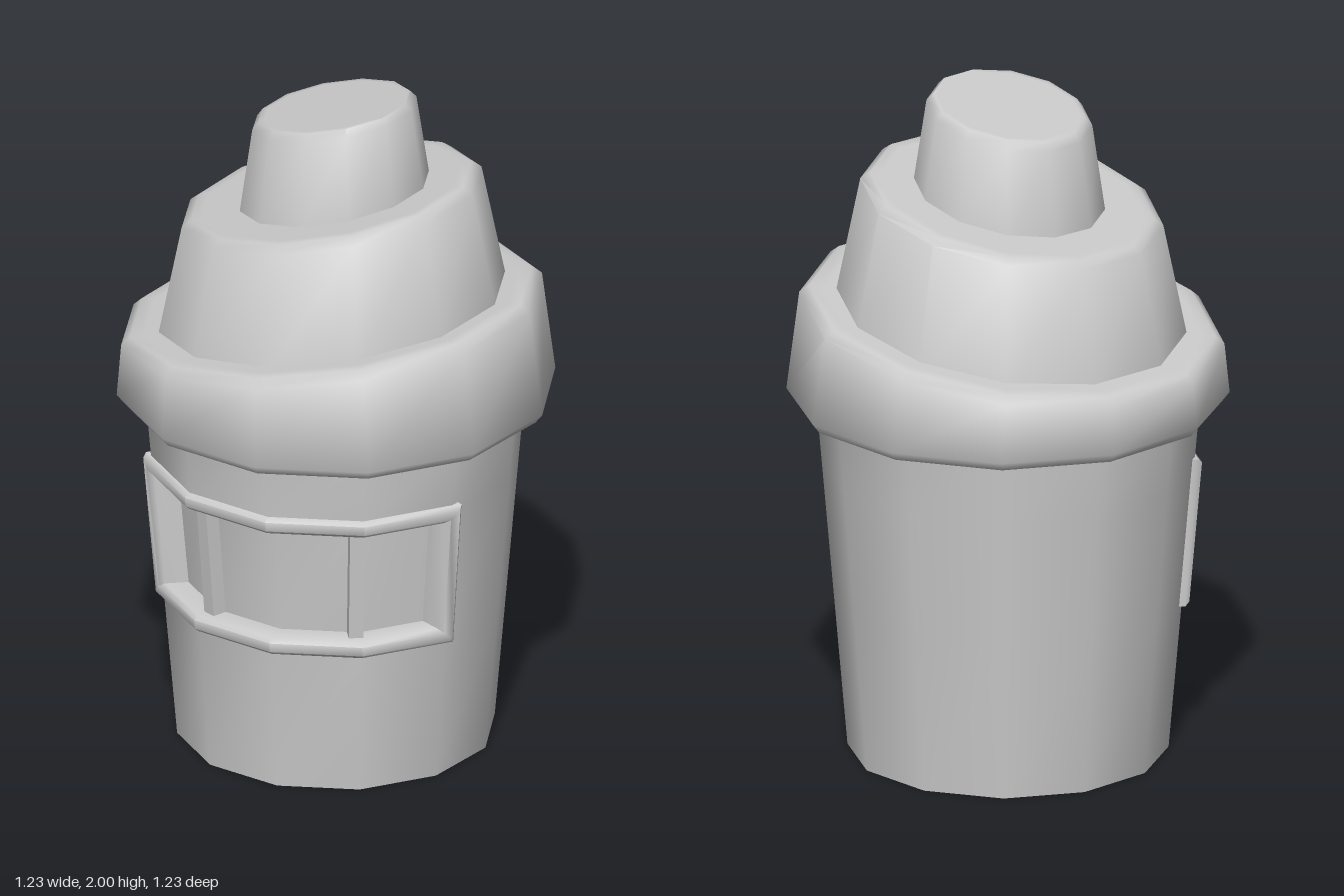
import * as THREE from 'three';
import { toCreasedNormals } from 'three/addons/utils/BufferGeometryUtils.js';

const SIDES = 12, STEP = Math.PI / 6, COS = Math.cos(Math.PI / 12);
const rad = THREE.MathUtils.degToRad;
const material = new THREE.MeshStandardMaterial({ color: 0xcccccc });
const openMaterial = new THREE.MeshStandardMaterial({ color: 0xcccccc, side: THREE.DoubleSide });

// Collects quads (counter-clockwise) and turns them into a mesh
class Skin {
  constructor() { this.pos = []; }
  tri(...pts) { pts.forEach(p => this.pos.push(p.x, p.y, p.z)); }
  quad(a, b, c, d) { this.tri(a, b, c); this.tri(a, c, d); }
  mesh(name, mat, crease = 0.95) {
    const g = new THREE.BufferGeometry();
    g.setAttribute('position', new THREE.Float32BufferAttribute(this.pos, 3));
    const mesh = new THREE.Mesh(toCreasedNormals(g, crease), mat);
    mesh.name = name;
    return mesh;
  }
}

// Corner k of the twelve-sided plan, angle measured from +z towards +x
const cornerAngle = k => (k + 0.5) * STEP;

// Point on the tapered cup wall, pushed out by off
const wall = (angle, y, off = 0) => {
  const r = (0.447 + 0.083 * y) / COS + off;
  return new THREE.Vector3(Math.sin(angle) * r, y, Math.cos(angle) * r);
};

// Window range: plan corners -2 to 2
const W0 = -2, W1 = 2, SILL = 0.462, HEAD = 0.86, DEPTH = -0.065;

function makeCup() {
  const skin = new Skin();
  const rows = [0, SILL, HEAD, 1.08];
  for (let k = W0; k < W0 + SIDES; k++) {
    const a = cornerAngle(k), b = cornerAngle(k + 1);
    for (let r = 0; r < 3; r++) {
      const off = r === 1 && k < W1 ? DEPTH : 0;
      const y0 = rows[r], y1 = rows[r + 1];
      skin.quad(wall(a, y0, off), wall(b, y0, off), wall(b, y1, off), wall(a, y1, off));
    }
    if (k < W1) { // sill and head of the recess
      skin.quad(wall(a, SILL), wall(b, SILL), wall(b, SILL, DEPTH), wall(a, SILL, DEPTH));
      skin.quad(wall(a, HEAD, DEPTH), wall(b, HEAD, DEPTH), wall(b, HEAD), wall(a, HEAD));
    }
  }
  // ends of the recess
  const l = cornerAngle(W0), r = cornerAngle(W1);
  skin.quad(wall(l, SILL), wall(l, SILL, DEPTH), wall(l, HEAD, DEPTH), wall(l, HEAD));
  skin.quad(wall(r, SILL, DEPTH), wall(r, SILL), wall(r, HEAD), wall(r, HEAD, DEPTH));
  return skin.mesh('cup', openMaterial);
}

// Chamfered section swept around the window opening
function makeWindowFrame() {
  const section = [[-0.026, DEPTH], [-0.026, 0.004], [-0.014, 0.018],
    [0.014, 0.018], [0.026, 0.004], [0.026, -0.02]];
  const path = [];
  for (let k = W0; k <= W1; k++) path.push({ k, y: HEAD, dy: 1 });
  for (let k = W1; k >= W0; k--) path.push({ k, y: SILL, dy: -1 });
  const rings = path.map(({ k, y, dy }) => {
    const side = k === W0 ? -1 : k === W1 ? 1 : 0;
    const n = (k - side * 0.5 + 0.5) * STEP; // facing of the end panel
    return section.map(([s, off]) => {
      const p = wall(cornerAngle(k), y + s * dy, off);
      p.x += Math.cos(n) * side * s;
      p.z -= Math.sin(n) * side * s;
      return p;
    });
  });
  const skin = new Skin();
  rings.forEach((ring, i) => {
    const next = rings[(i + 1) % rings.length];
    for (let j = 0; j < section.length - 1; j++)
      skin.quad(ring[j], next[j], next[j + 1], ring[j + 1]);
  });
  return skin.mesh('windowFrame', openMaterial, 0.9);
}

// Upright bar leaning with the wall
function makeMullion(deg) {
  const a = rad(deg);
  const low = wall(a, SILL, -0.05), high = wall(a, HEAD, -0.05);
  const geo = new THREE.BoxGeometry(0.042, low.distanceTo(high), 0.045);
  geo.rotateX(Math.atan2(Math.hypot(high.x, high.z) - Math.hypot(low.x, low.z), HEAD - SILL));
  geo.rotateY(a);
  const bar = new THREE.Mesh(geo, material);
  bar.position.copy(low).add(high).multiplyScalar(0.5);
  bar.name = 'mullion';
  return bar;
}

// Tier of rings: [centre x, apothem, height at the axis, slope along x, slope along z]
function makeTier(name, rings) {
  const last = rings[rings.length - 1];
  const all = [...rings, [last[0], last[1] * 0.93, ...last.slice(2)]];
  const point = ([cx, ap, y, sx = 0, sz = 0], k) => {
    const a = cornerAngle(k), r = ap / COS;
    const x = cx + Math.sin(a) * r, z = Math.cos(a) * r;
    return new THREE.Vector3(x, y + sx * x + sz * z, z);
  };
  const skin = new Skin();
  const top = all[all.length - 1];
  const centre = new THREE.Vector3(top[0], top[2] + top[3] * top[0], 0);
  for (let k = 0; k < SIDES; k++) {
    for (let i = 0; i < all.length - 1; i++)
      skin.quad(point(all[i], k), point(all[i], k + 1), point(all[i + 1], k + 1), point(all[i + 1], k));
    skin.tri(point(top, k), point(top, k + 1), centre);
  }
  return skin.mesh(name, material);
}

export function createModel() {
  const model = new THREE.Group();
  model.name = 'cupTower';
  model.add(makeCup(), makeWindowFrame(), makeMullion(-13.5), makeMullion(43.5));

  // Three slanted swirl tiers
  model.add(
    makeTier('lowerTier', [
      [0, 0.5, 1.058], [0, 0.597, 1.058], [0, 0.617, 1.085],
      [-0.016, 0.592, 1.312, 0.144, -0.025], [-0.018, 0.566, 1.335, 0.15, -0.025]]),
    makeTier('middleTier', [
      [-0.015, 0.492, 1.31, 0.15, -0.025],
      [-0.016, 0.422, 1.667, 0.18, -0.04], [-0.018, 0.395, 1.688, 0.194, -0.04]]),
    makeTier('topTier', [
      [-0.006, 0.27, 1.66, 0.19, -0.04],
      [-0.006, 0.231, 1.935, 0.2, -0.02], [-0.006, 0.213, 1.957, 0.2, -0.02]]));
  return model;
}
